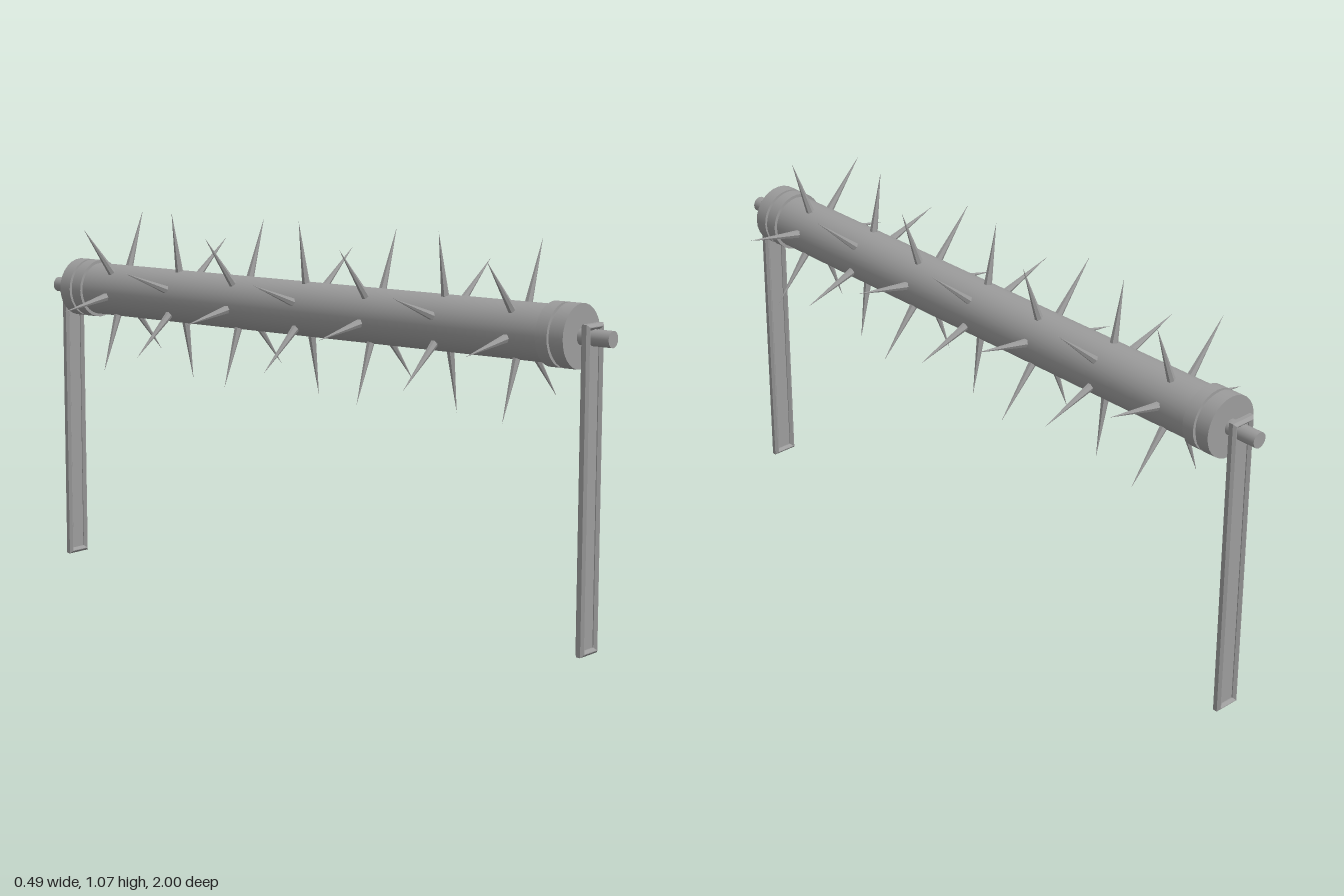
import * as THREE from 'three';

const AXIS_Y = 0.824;
const mat = new THREE.MeshStandardMaterial({ color: 0x9c9c9c });
const spikeMat = new THREE.MeshStandardMaterial({ color: 0x9c9c9c, flatShading: true });

function add(parent, name, geometry, material = mat) {
  const mesh = new THREE.Mesh(geometry, material);
  mesh.name = name;
  parent.add(mesh);
  return mesh;
}

// Cylinder lying along z, centred at z
function rod(parent, name, radius, length, z, sides = 28) {
  const g = new THREE.CylinderGeometry(radius, radius, length, sides);
  g.rotateX(Math.PI / 2);
  g.translate(0, AXIS_Y, z);
  return add(parent, name, g);
}

function rectangle(path, x, y0, y1) {
  path.moveTo(-x, y0);
  path.lineTo(x, y0);
  path.lineTo(x, y1);
  path.lineTo(-x, y1);
  path.closePath();
  return path;
}

// Leg: bevelled rim around a thin recessed panel
function makeLeg(name, z) {
  const leg = new THREE.Group();
  leg.name = name;
  const height = 0.86, bevel = 0.007;
  const shape = rectangle(new THREE.Shape(), 0.031, bevel, height - bevel);
  shape.holes.push(rectangle(new THREE.Path(), 0.029, 0.009, height - 0.009));
  const rim = new THREE.ExtrudeGeometry(shape, {
    depth: 0.012, bevelEnabled: true, bevelThickness: 0.007, bevelSize: bevel, bevelSegments: 1,
  });
  rim.translate(0, 0, -0.006);
  add(leg, 'legRim', rim);
  const panel = new THREE.BoxGeometry(0.046, height - 0.028, 0.007);
  panel.translate(0, height / 2, 0);
  add(leg, 'legPanel', panel);
  leg.position.z = z;
  return leg;
}

export function createModel() {
  const model = new THREE.Group();
  model.name = 'spikedRoller';

  rod(model, 'shaft', 0.022, 2, 0, 16);
  rod(model, 'drum', 0.076, 1.8, 0);

  // End flanges and legs, mirrored front to back
  for (const s of [1, -1]) {
    rod(model, 'outerFlange', 0.085, 0.04, s * 0.885);
    rod(model, 'innerFlange', 0.085, 0.036, s * 0.838);
    model.add(makeLeg(s > 0 ? 'frontLeg' : 'backLeg', s * 0.938));
  }

  // Seven rings of six spikes, alternate rings turned by half a step
  const base = 0.068, tip = 0.25;
  const spike = new THREE.ConeGeometry(0.0125, tip - base, 6);
  spike.scale(1, 1, 0.85);
  spike.translate(0, (base + tip) / 2, 0);
  for (let i = -3; i <= 3; i++) {
    const ring = new THREE.Group();
    ring.name = 'spikeRing';
    ring.position.set(0, AXIS_Y, i * 0.241);
    const offset = i % 2 ? 10 : 40;
    for (let k = 0; k < 6; k++) {
      const m = add(ring, 'spike', spike, spikeMat);
      m.rotation.z = THREE.MathUtils.degToRad(offset + k * 60 - 90);
    }
    model.add(ring);
  }
  return model;
}
